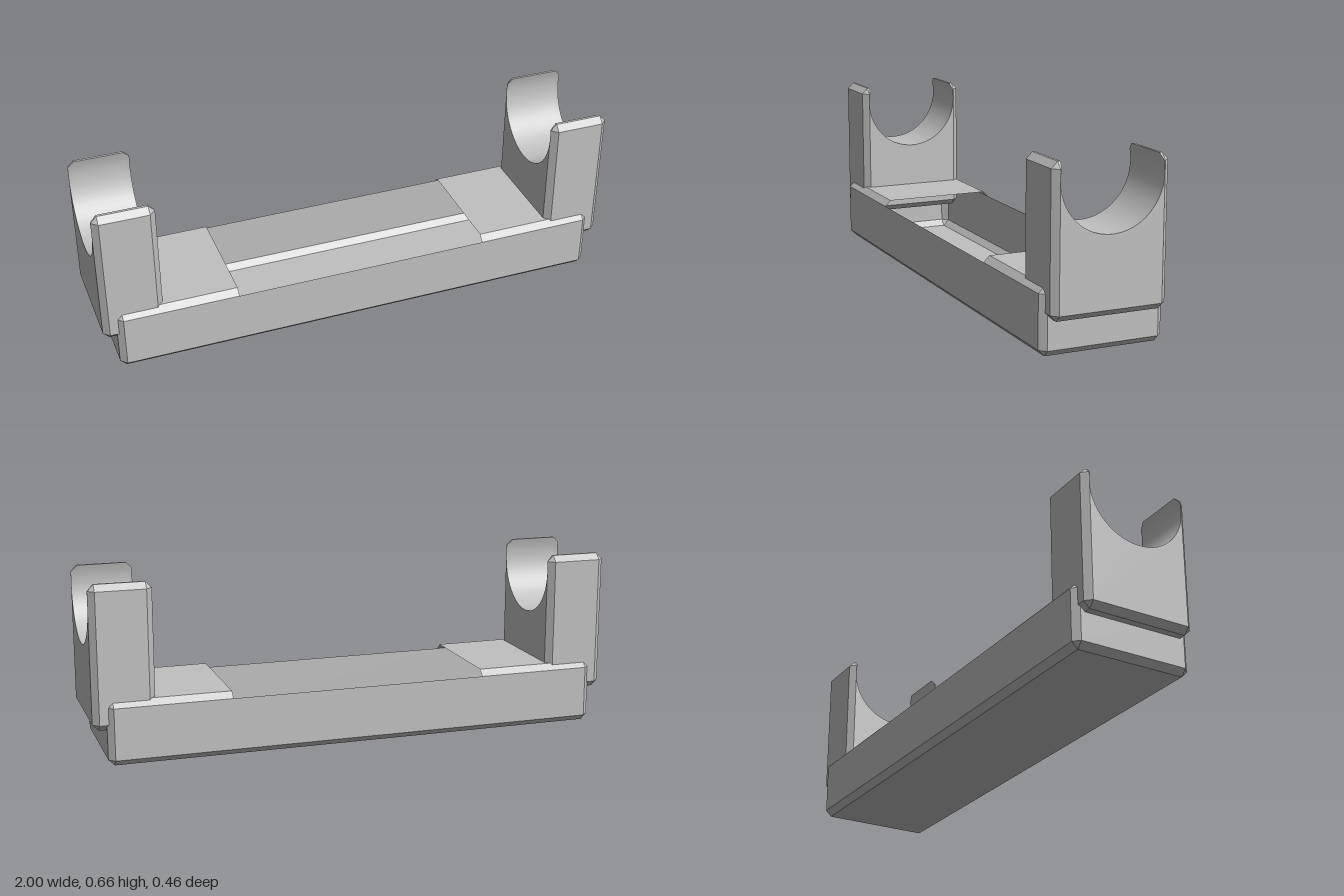
import * as THREE from 'three';
import { toCreasedNormals } from 'three/addons/utils/BufferGeometryUtils.js';

// Loft matching [z, y] contours (counter-clockwise) along x and cap both ends.
// skip(section, edge) leaves a strip open.
function loft(xs, contours, skip = () => false) {
  const pos = [];
  const put = (i, j) => pos.push(xs[i], contours[i][j][1], contours[i][j][0]);
  const n = contours[0].length;
  for (let i = 0; i < xs.length - 1; i++) {
    for (let j = 0; j < n; j++) {
      if (skip(i, j)) continue;
      const k = (j + 1) % n;
      put(i, j); put(i + 1, j); put(i, k);
      put(i, k); put(i + 1, j); put(i + 1, k);
    }
  }
  for (const i of [0, xs.length - 1]) {
    const pts = contours[i].map(([z, y]) => new THREE.Vector2(z, y));
    for (const [a, b, c] of THREE.ShapeUtils.triangulateShape(pts, [])) {
      for (const j of i === 0 ? [a, b, c] : [a, c, b]) put(i, j);
    }
  }
  const geo = new THREE.BufferGeometry();
  geo.setAttribute('position', new THREE.Float32BufferAttribute(pos, 3));
  return toCreasedNormals(geo, 0.4);
}

const C = 0.023; // chamfer size

// Chamfered rectangle; edges 3, 4 and 5 are the upper chamfers and the top
function octagon(w, h, inset) {
  const a = w - C, b = inset ? a : w;
  const lo = inset ? C : 0, hi = inset ? h - C : h;
  return [
    [-a, lo], [a, lo], [b, C], [b, h - C],
    [a, hi], [-a, hi], [-b, h - C], [-b, C],
  ];
}

// Upright outline with a round notch in its top
function cradle(inset) {
  const w = 0.215, y0 = 0.13, y1 = 0.663, cy = 0.602, r = 0.192, segs = 32;
  const a = w - C, b = inset ? a : w;
  const lo = inset ? y0 + C : y0, hi = inset ? y1 - C : y1;
  const pts = [
    [-a, hi], [-b, y1 - C], [-b, y0 + C], [-a, lo],
    [a, lo], [b, y0 + C], [b, y1 - C], [a, hi],
  ];
  const start = Math.asin((hi - cy) / r);
  for (let i = 0; i <= segs; i++) {
    const t = start - (Math.PI + 2 * start) * (i / segs);
    pts.push([r * Math.cos(t), cy + r * Math.sin(t)]);
  }
  return pts;
}

export function createModel() {
  const group = new THREE.Group();
  const grey = new THREE.MeshStandardMaterial({ color: 0xc0c0c0, side: THREE.DoubleSide });
  grey.name = 'grey';

  // Hollow tray, open along the middle of its top
  const full = octagon(0.232, 0.24, false), end = octagon(0.232, 0.24, true);
  const tray = new THREE.Mesh(
    loft([-0.95, -0.927, -0.49, 0.49, 0.927, 0.95], [end, full, full, full, full, end],
      (i, j) => i === 2 && j >= 3 && j <= 5),
    grey);
  tray.name = 'tray';
  group.add(tray);

  // Notched uprights at both ends
  const hw = 0.115;
  const uprightGeo = loft([-hw, C - hw, hw - C, hw],
    [cradle(true), cradle(false), cradle(false), cradle(true)]);
  for (const s of [1, -1]) {
    const upright = new THREE.Mesh(uprightGeo, grey);
    upright.name = s > 0 ? 'leftCradle' : 'rightCradle';
    upright.position.x = s * (1 - hw);
    group.add(upright);
  }
  return group;
}
